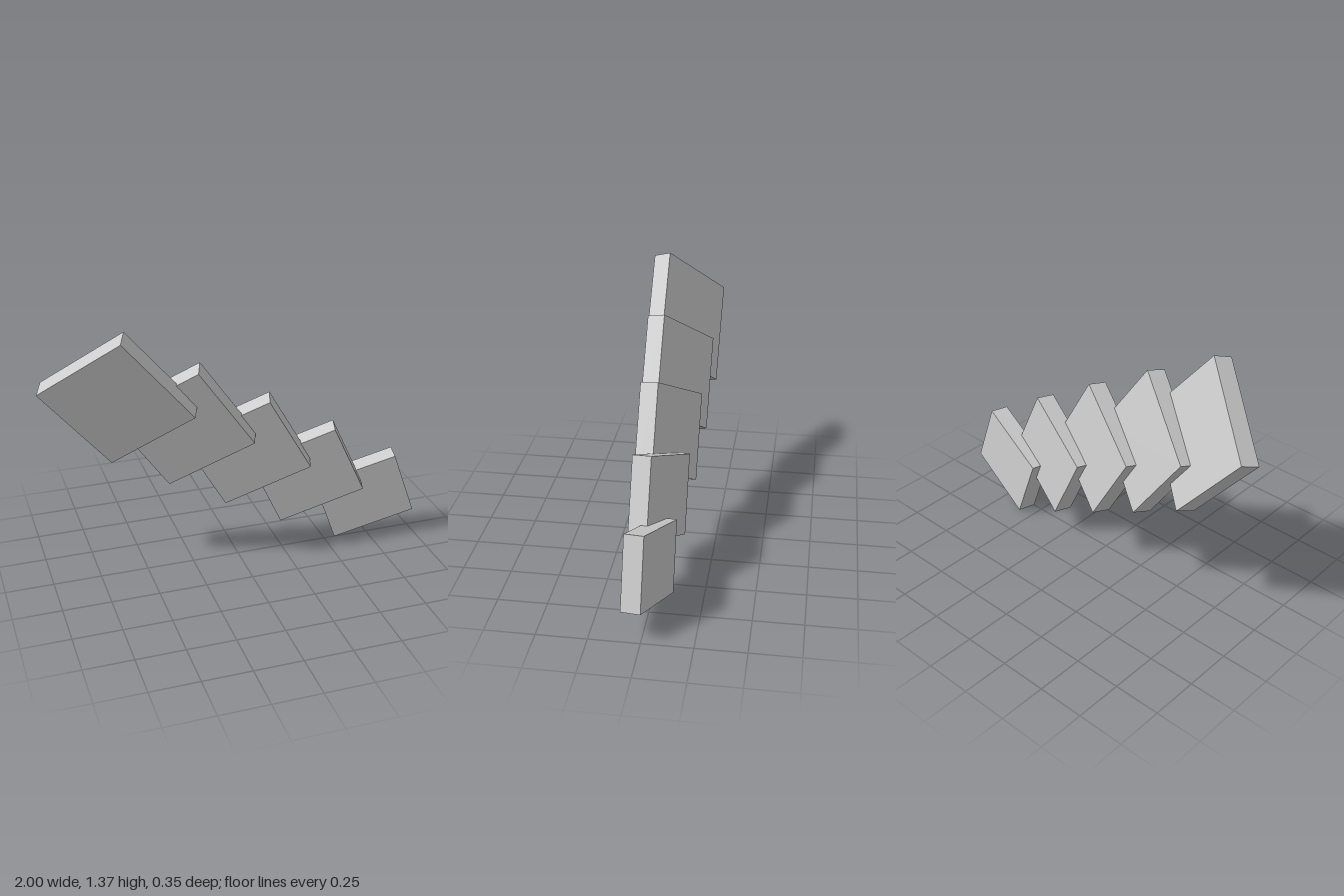
import * as THREE from 'three';

// Five overlapping slabs, descending while they shrink, roll and turn in even steps.
export function createModel() {
  const model = new THREE.Group();
  const grey = new THREE.MeshStandardMaterial({ color: 0xcccccc });
  grey.name = 'light grey';
  const count = 5;
  const mix = THREE.MathUtils.lerp;
  const rad = THREE.MathUtils.degToRad;

  for (let i = 0; i < count; i++) {
    const t = i / (count - 1);
    const slab = new THREE.Mesh(
      new THREE.BoxGeometry(mix(0.552, 0.456, t), mix(0.55, 0.367, t), 0.1),
      grey
    );
    slab.name = `slab${i + 1}`;
    slab.position.set(mix(-0.619, 0.717, t), mix(0.991, 0.253, t), 0);
    // roll about z applied after the turn about y
    slab.rotation.set(0, rad(mix(-28, -12, t)), rad(mix(40, 20, t)), 'ZYX');
    model.add(slab);
  }
  return model;
}
